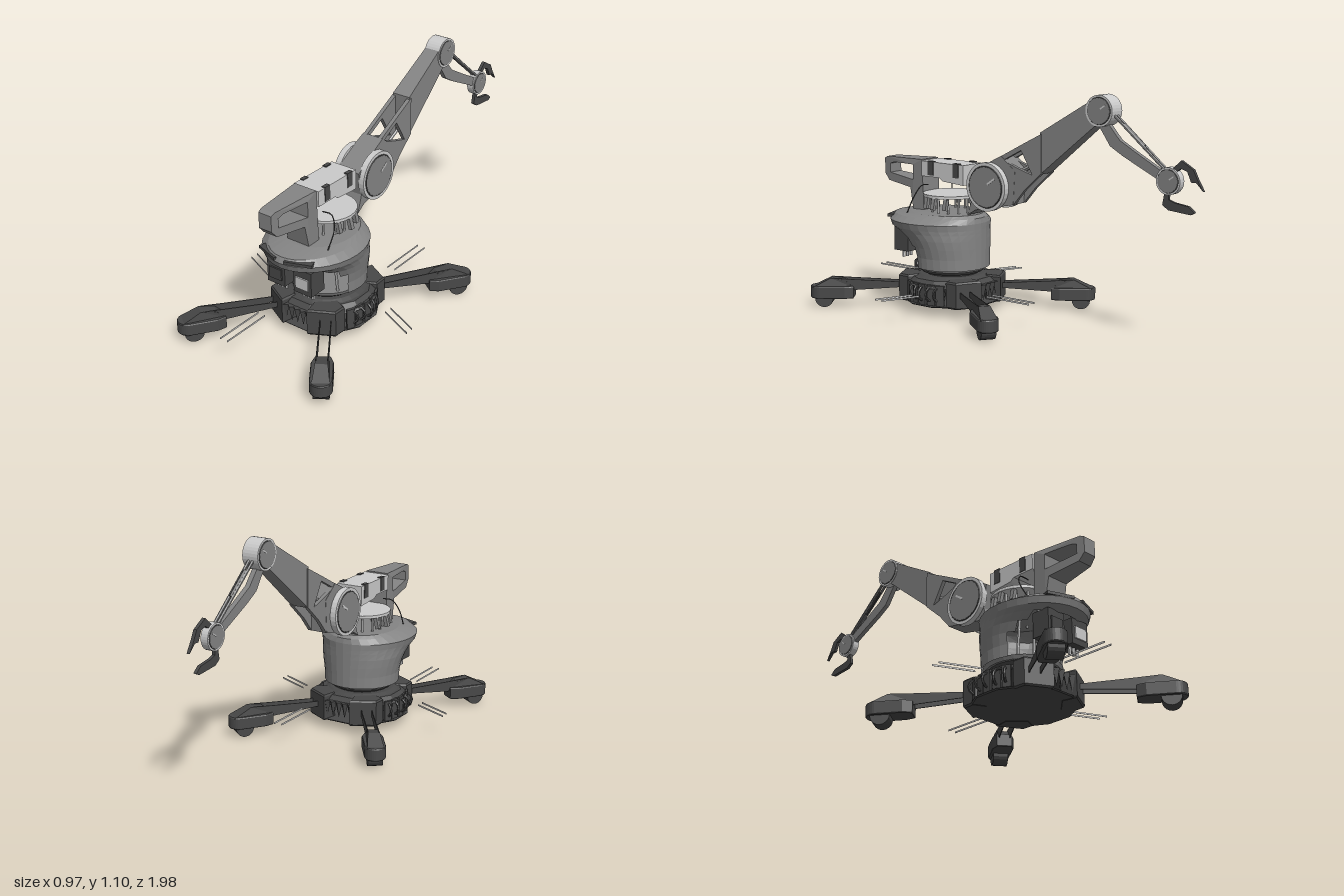
import * as THREE from 'three';

const mat = (color) => new THREE.MeshStandardMaterial({ color, flatShading: true, side: THREE.DoubleSide });
const DARK = mat(0x484848), MID = mat(0x848484), LIGHT = mat(0xcccccc);
const CZ = 0.4; // z of the turntable axis

export function createModel() {
  const root = new THREE.Group();

  const add = (name, geo, material, parent = root) => {
    const m = new THREE.Mesh(geo, material);
    m.name = name;
    parent.add(m);
    return m;
  };
  const box = (name, w, h, d, x, y, z, material, parent) => {
    const m = add(name, new THREE.BoxGeometry(w, h, d), material, parent);
    m.position.set(x, y, z);
    return m;
  };
  const rod = (name, a, b, r, material) => {
    const A = new THREE.Vector3(...a), B = new THREE.Vector3(...b);
    const m = add(name, new THREE.CylinderGeometry(r, r, A.distanceTo(B), 6), material);
    m.position.copy(A).lerp(B, 0.5);
    m.quaternion.setFromUnitVectors(new THREE.Vector3(0, 1, 0), B.sub(A).normalize());
  };
  const toShape = (pts) => new THREE.Shape(pts.map((p) => new THREE.Vector2(...p)));

  // Side profile in (z, y), extruded across x; halfWidth may vary along z
  const plate = (name, pts, halfWidth, material, hole, parent) => {
    const shape = toShape(pts);
    if (hole) shape.holes.push(toShape(hole));
    const geo = new THREE.ExtrudeGeometry(shape, { depth: 2, bevelEnabled: false });
    geo.translate(0, 0, -1).rotateY(-Math.PI / 2);
    const p = geo.attributes.position;
    for (let i = 0; i < p.count; i++) {
      const w = typeof halfWidth === 'function' ? halfWidth(p.getZ(i)) : halfWidth;
      p.setX(i, p.getX(i) * w);
    }
    geo.computeVertexNormals();
    return add(name, geo, material, parent);
  };

  // Oval cross-sections [y, half width, back z, front z, cut] skinned into a shell; faces ahead of cut stay open
  const loft = (name, rings, n, material) => {
    const pos = [], idx = [];
    rings.forEach(([y, hx, zb, zf, cut = 2], i) => {
      for (let j = 0; j < n; j++) {
        const a = (j / n) * Math.PI * 2;
        pos.push(hx * Math.sin(a), y, (zb + zf) / 2 + ((zf - zb) / 2) * Math.cos(a));
        if (i === rings.length - 1 || Math.cos(((j + 0.5) / n) * Math.PI * 2) > cut) continue;
        const k = (j + 1) % n, a0 = i * n + j, a1 = i * n + k;
        idx.push(a0, a1, a1 + n, a0, a1 + n, a0 + n);
      }
    });
    const geo = new THREE.BufferGeometry();
    geo.setAttribute('position', new THREE.Float32BufferAttribute(pos, 3));
    geo.setIndex(idx);
    geo.computeVertexNormals();
    return add(name, geo, material);
  };

  // Joint with its axis along x: a disc on each side from inner to half, darker cap, pointer
  const drum = (name, z, y, r, inner, half) => {
    const g = new THREE.Group();
    g.name = name;
    g.position.set(0, y, z);
    root.add(g);
    for (const s of [-1, 1]) {
      const side = (part, rad, w, m) => add(part, new THREE.CylinderGeometry(rad, rad, w, 32).rotateZ(Math.PI / 2), m, g);
      side('rim', r, half - inner, LIGHT).position.x = (s * (half + inner)) / 2;
      side('cap', r * 0.82, 0.006, MID).position.x = s * half;
      add('groove', new THREE.TorusGeometry(r * 0.84, r * 0.03, 6, 32).rotateY(Math.PI / 2), DARK, g).position.x = s * half;
      box('pointer', 0.008, r * 0.08, r * 0.45, s * half, r * 0.25, -r * 0.3, LIGHT, g).rotation.x = 0.6;
    }
  };

  // Base: twelve-sided pan and deck with the turntable on top
  const disc = (name, rTop, rBot, h, y, m, sides = 24) => {
    const d = add(name, new THREE.CylinderGeometry(rTop, rBot, h, sides), m);
    d.position.set(0, y, CZ);
    if (sides === 12) d.rotation.y = Math.PI / 12;
  };
  disc('basePan', 0.24, 0.235, 0.006, 0.05, DARK, 12);
  disc('baseDeck', 0.2, 0.235, 0.03, 0.155, DARK, 12);
  disc('baseHub', 0.16, 0.19, 0.014, 0.173, DARK);
  disc('turntable', 0.13, 0.13, 0.03, 0.182, DARK);
  disc('turntableRing', 0.16, 0.15, 0.014, 0.197, DARK);

  // Four armoured corner blocks between the teeth and the side fins
  for (const sx of [-1, 1]) for (const sz of [-1, 1]) {
    const pts = [[0.185, 0.125], [0.183, 0.18], [0.075, 0.237], [0.06, 0.17], [0.13, 0.1]];
    const shape = toShape(pts.map(([x, z]) => [x * sx, z * sz]));
    const geo = new THREE.ExtrudeGeometry(shape, { depth: 0.115, bevelSize: 0.006, bevelThickness: 0.008, bevelSegments: 1 });
    add('cornerBlock', geo.rotateX(Math.PI / 2), DARK).position.set(0, 0.168, CZ);
  }
  for (const s of [-1, 1]) {
    for (let i = -2; i <= 2; i++) {
      const tooth = add('tooth', new THREE.ConeGeometry(0.02, 0.08, 4), DARK);
      tooth.rotation.x = Math.PI;
      tooth.position.set(i * 0.033, 0.11, CZ + s * 0.222);
      const bend = Math.abs(i) * 0.009;
      box('sideFin', 0.012, 0.1, 0.04, s * (0.222 - bend), 0.105, CZ + i * 0.048, DARK).rotation.y = -s * i * 0.22;
      const loop = add('sideHose', new THREE.TorusGeometry(0.034, 0.006, 5, 12), DARK);
      loop.position.set(s * (0.218 - bend), 0.11, CZ + i * 0.045);
      loop.rotation.y = i * 0.25;
    }
    // Thin strips beside the base
    for (const o of [-0.02, 0.02]) {
      box('sideStrip', 0.19, 0.008, 0.002, s * 0.4, 0.12, CZ + o, LIGHT).rotation.y = -0.42;
      box('endStrip', 0.002, 0.008, 0.25, -s * 0.12 + o, 0.125, CZ + s * 0.455, LIGHT);
    }
  }

  // Outrigger legs, each modelled along +z and swung to its corner
  const a0 = Math.atan2(0.37, 0.515);
  for (const angle of [a0, -a0, Math.PI - a0, Math.PI + a0]) {
    const leg = new THREE.Group();
    leg.name = 'outrigger';
    leg.position.z = CZ;
    leg.rotation.y = angle;
    root.add(leg);
    for (const s of [-1, 1])
      plate('legPlate', [[0.22, 0.105], [0.5, 0.085], [0.6, 0.1], [0.59, 0.145], [0.5, 0.14], [0.22, 0.128]], 0.002, DARK, null, leg).position.x = s * 0.025;
    const foot = new THREE.Shape();
    foot.moveTo(-0.033, -0.49);
    foot.lineTo(0.033, -0.49);
    foot.lineTo(0.047, -0.53);
    foot.lineTo(0.047, -0.655);
    foot.absarc(0, -0.655, 0.047, 0, -Math.PI, true);
    foot.lineTo(-0.047, -0.53);
    const geo = new THREE.ExtrudeGeometry(foot, { depth: 0.05, bevelSize: 0.003, bevelThickness: 0.005, bevelSegments: 1, curveSegments: 8 });
    add('footPod', geo.rotateX(-Math.PI / 2), DARK, leg).position.y = 0.05;
    plate('footRidge', [[0.49, 0.1], [0.69, 0.1], [0.6, 0.145], [0.53, 0.135]], (z) => (z > 0.65 ? 0.04 : 0.028), DARK, null, leg);
    const wheel = add('wheel', new THREE.CylinderGeometry(0.045, 0.045, 0.07, 20).rotateZ(Math.PI / 2), DARK, leg);
    wheel.position.set(0, 0.045, 0.634);
  }

  // Body shell: round below and cut away at the front, flaring into an overhang
  disc('bodyFloor', 0.178, 0.17, 0.018, 0.214, MID);
  loft('bodyShell', [
    [0.215, 0.185, 0.215, 0.585, 0.35], [0.27, 0.188, 0.215, 0.59, 0.42], [0.32, 0.198, 0.215, 0.6, 0.55],
    [0.36, 0.208, 0.215, 0.63, 0.75], [0.39, 0.216, 0.215, 0.68], [0.41, 0.224, 0.215, 0.725], [0.44, 0.232, 0.215, 0.735],
    [0.465, 0.19, 0.22, 0.72], [0.48, 0.16, 0.24, 0.62], [0.485, 0, 0.4, 0.41],
  ], 32, MID);

  for (const s of [-1, 1]) {
    // Units slung inside the front opening
    box('engineBox', 0.1, 0.12, 0.09, s * 0.075, 0.335, 0.625, DARK);
    box('enginePanel', 0.07, 0.055, 0.01, s * 0.075, 0.33, 0.672, s > 0 ? LIGHT : DARK);
    for (let i = 0; i < 3; i++) rod('exhaust', [s * (0.05 + i * 0.025), 0.24, 0.63], [s * (0.05 + i * 0.025), 0.28, 0.63], 0.008, LIGHT);
    rod('pillar', [s * 0.13, 0.21, 0.49], [s * 0.13, 0.4, 0.51], 0.007, LIGHT);
    rod('pillar', [s * 0.06, 0.21, 0.52], [s * 0.06, 0.4, 0.53], 0.007, LIGHT);
    // Brow slabs on the front edge
    box('browPlate', 0.13, 0.014, 0.05, s * 0.08, 0.45, 0.69, DARK).rotation.y = s * 0.35;
  }

  // Upper deck carried on posts, with hanging clips at the sides
  disc('upperDeck', 0.14, 0.14, 0.014, 0.566, LIGHT);
  for (let i = 0; i < 12; i++) {
    const a = (i / 12) * Math.PI * 2, x = Math.sin(a), z = Math.cos(a);
    rod('deckPost', [x * 0.1, 0.47, CZ + z * 0.1], [x * 0.1, 0.565, CZ + z * 0.1], 0.006, LIGHT);
    if (Math.abs(x) > 0.6) box('deckClip', 0.018, 0.055, 0.02, x * 0.135, 0.53, CZ + z * 0.12, MID).rotation.z = x * 0.25;
  }
  for (const s of [-1, 1]) {
    const path = new THREE.CatmullRomCurve3([[0.06, 0.61, 0.5], [0.11, 0.61, 0.5], [0.14, 0.56, 0.52], [0.14, 0.47, 0.57]].map(([x, y, z]) => new THREE.Vector3(s * x, y, z)));
    add('deckHose', new THREE.TubeGeometry(path, 12, 0.003, 5), DARK);
  }

  // Head: looped front frame and pale rear housing
  plate('headFrame', [[0.81, 0.715], [0.79, 0.725], [0.54, 0.73], [0.53, 0.48], [0.6, 0.48], [0.62, 0.585], [0.78, 0.605], [0.81, 0.64]],
    (z) => 0.06 - Math.max(0, z - 0.6) * 0.12, MID, [[0.77, 0.69], [0.74, 0.7], [0.6, 0.7], [0.6, 0.625], [0.77, 0.645]]);
  plate('headHousing', [[0.535, 0.725], [0.27, 0.722], [0.27, 0.625], [0.4, 0.635], [0.42, 0.65], [0.535, 0.65]], 0.068, LIGHT);
  for (const s of [-1, 1]) for (const z of [0.475, 0.315]) box('headVent', 0.02, 0.07, 0.035, s * 0.061, 0.693, z, DARK);

  // Lifting arm: shoulder block, open fork of two cheeks, beam narrowing to the elbow
  const armWidth = (z) => THREE.MathUtils.mapLinear(z, 0.25, -0.52, 0.062, 0.034);
  plate('shoulderBlock', [[0.25, 0.485], [0.2, 0.515], [-0.02, 0.56], [-0.03, 0.72], [0.05, 0.785], [0.14, 0.74], [0.24, 0.685], [0.22, 0.57]], armWidth, MID);
  plate('armBeam', [[-0.17, 0.715], [-0.45, 0.945], [-0.52, 1.0], [-0.42, 1.055], [-0.17, 0.908]], armWidth, MID);
  for (const s of [-1, 1]) {
    plate('forkCheek', [[0.06, 0.56], [-0.02, 0.56], [-0.085, 0.635], [-0.18, 0.72], [-0.18, 0.903], [-0.075, 0.85], [0.06, 0.78]],
      0.01, MID, [[0.04, 0.765], [-0.065, 0.82], [-0.13, 0.71], [-0.06, 0.73]]).position.x = s * 0.041;
    rod('forkPiston', [s * 0.02, 0.7, 0.0], [s * 0.02, 0.79, -0.18], 0.007, LIGHT);
  }
  drum('shoulderJoint', 0.12, 0.635, 0.116, 0.055, 0.085);
  drum('elbowJoint', -0.487, 1.025, 0.071, 0, 0.04);

  // Forearm strut, tie rods and wrist
  plate('forearm', [[-0.46, 0.97], [-0.52, 0.97], [-0.58, 0.9], [-0.66, 0.855], [-0.79, 0.785], [-0.775, 0.745], [-0.6, 0.83], [-0.53, 0.87]], 0.012, MID);
  for (const s of [-1, 1]) rod('tieRod', [s * 0.01, 1.015, -0.54], [s * 0.008, 0.78, -0.82], 0.007, MID);
  rod('tieRodSleeve', [0, 0.97, -0.595], [0, 0.88, -0.7], 0.011, DARK);
  drum('wristJoint', -0.832, 0.742, 0.06, 0, 0.018);

  // Two-jaw gripper
  plate('upperJaw', [[-0.84, 0.79], [-0.89, 0.835], [-0.95, 0.8], [-0.97, 0.76], [-1.0, 0.71], [-0.965, 0.745], [-0.94, 0.745], [-0.92, 0.79], [-0.89, 0.8], [-0.86, 0.78]], 0.008, DARK);
  plate('lowerJaw', [[-0.81, 0.69], [-0.8, 0.635], [-0.83, 0.615], [-0.94, 0.605], [-0.96, 0.615], [-0.93, 0.64], [-0.86, 0.65], [-0.83, 0.66], [-0.83, 0.69]], 0.008, DARK);

  return root;
}
